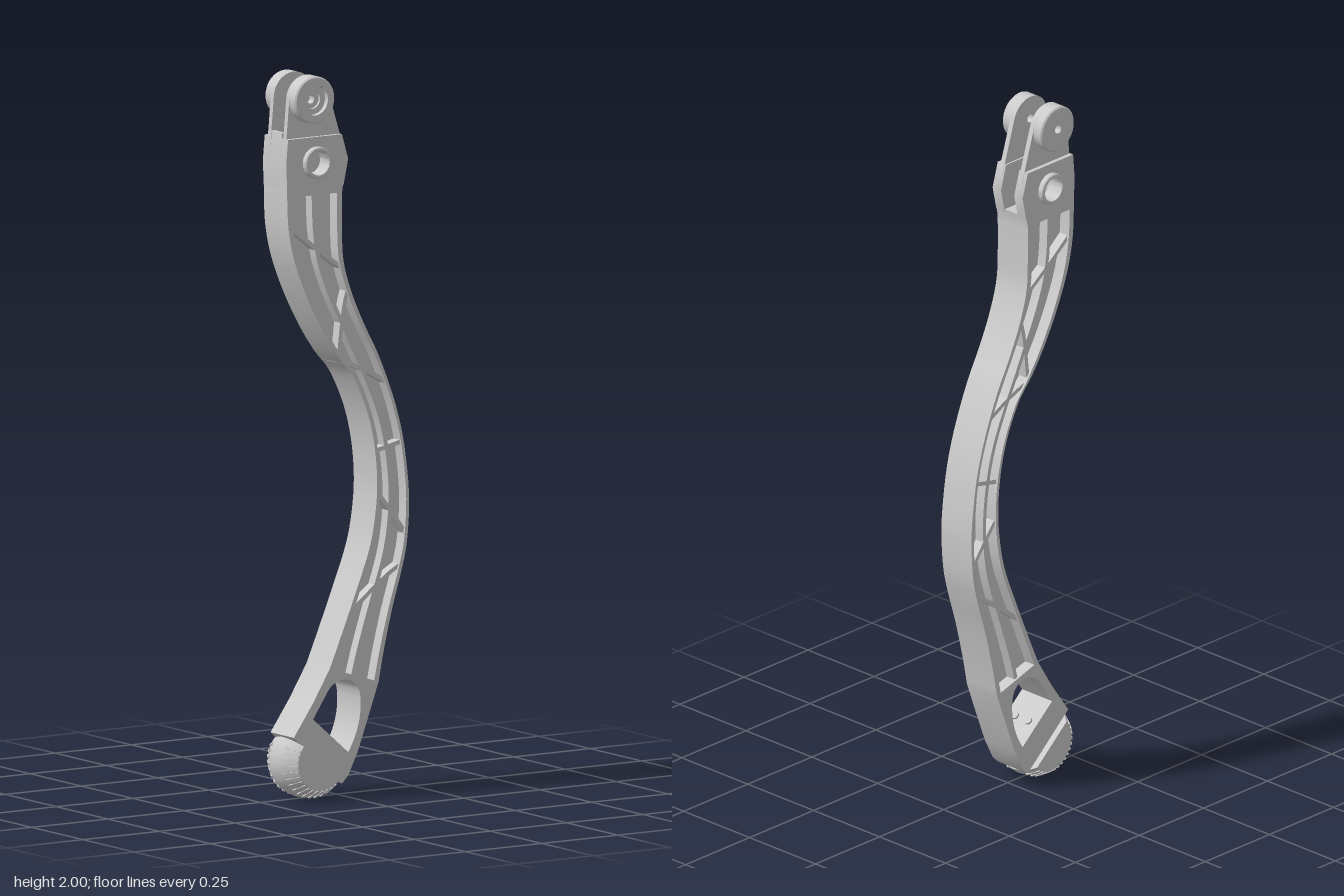
import * as THREE from 'three';
import { toCreasedNormals } from 'three/addons/utils/BufferGeometryUtils.js';

const V = (x, y) => new THREE.Vector2(x, y);
const pts = (list) => list.map(([x, y]) => V(x, y));

// Matching stations down the left and right edges of the curved arm
const leftEdge = new THREE.SplineCurve(pts([
  [-0.2, 1.67], [-0.195, 1.58], [-0.175, 1.49], [-0.135, 1.39], [-0.085, 1.295],
  [-0.035, 1.22], [0.015, 1.16], [0.06, 1.065], [0.085, 0.97], [0.095, 0.87],
  [0.09, 0.78], [0.07, 0.68], [0.02, 0.55], [-0.03, 0.43], [-0.06, 0.36]]));
const rightEdge = new THREE.SplineCurve(pts([
  [-0.02, 1.67], [-0.02, 1.56], [-0.015, 1.48], [0.01, 1.395], [0.05, 1.305],
  [0.1, 1.21], [0.145, 1.1], [0.175, 1.0], [0.192, 0.9], [0.2, 0.8],
  [0.193, 0.69], [0.175, 0.61], [0.145, 0.51], [0.118, 0.4], [0.1, 0.31]]));
const STATIONS = 14;

// Point on the arm: u runs across (0 left, 1 right), t runs down the stations
const armPoint = (u, t) =>
  leftEdge.getPoint(t / STATIONS).lerp(rightEdge.getPoint(t / STATIONS), u);
const armLine = (u0, t0, u1, t1, n) => Array.from({ length: n + 1 }, (_, i) =>
  armPoint(u0 + (u1 - u0) * i / n, t0 + (t1 - t0) * i / n));

export function createModel() {
  const model = new THREE.Group();
  const grey = new THREE.MeshStandardMaterial({ color: 0xcccccc });
  const thin = new THREE.MeshStandardMaterial({ color: 0xcccccc, side: THREE.DoubleSide });

  const add = (name, geometry, material = grey, parent = model) => {
    const mesh = new THREE.Mesh(geometry, material);
    mesh.name = name;
    parent.add(mesh);
    return mesh;
  };
  // Flat outline extruded between two depths
  const slab = (name, outline, z0, z1, holes = []) => {
    const shape = new THREE.Shape(outline);
    shape.holes = holes.map((h) => (h instanceof THREE.Path ? h : new THREE.Path(h)));
    const g = new THREE.ExtrudeGeometry(shape, { depth: z1 - z0, bevelEnabled: false, curveSegments: 24 });
    g.translate(0, 0, z0);
    return add(name, toCreasedNormals(g, 0.5));
  };
  const circle = (x, y, r) => new THREE.Path().absarc(x, y, r, 0, Math.PI * 2, true);
  // Revolved part whose axis is z; side -1 faces the back
  const turned = (name, profile, x, y, side) => {
    const g = new THREE.LatheGeometry(pts(profile), 40);
    g.rotateX(Math.PI / 2);
    if (side < 0) g.rotateY(Math.PI);
    g.translate(x, y, 0);
    return add(name, toCreasedNormals(g, 0.5), thin);
  };

  // Arm frame: full-depth rim with a long pocket and the window above the foot
  const pocket = [...armLine(0.09, 0, 0.09, 14, 70), ...armLine(0.91, 14, 0.91, 0, 70)];
  const windowHole = new THREE.Path();
  windowHole.moveTo(-0.115, 0.225);
  windowHole.lineTo(0, 0.125);
  windowHole.bezierCurveTo(0.03, 0.17, 0.045, 0.22, 0.04, 0.275);
  windowHole.bezierCurveTo(0.035, 0.335, -0.035, 0.34, -0.065, 0.3);
  windowHole.closePath();
  const outline = [
    V(-0.2, 1.7), ...armLine(0, 0, 0, 14, 70), V(-0.115, 0.27), V(-0.178, 0.18),
    V(-0.02, 0.04), V(0, 0.06), V(0.03, 0.12), V(0.06, 0.2),
    ...armLine(1, 14, 1, 0, 70), V(-0.015, 1.7)];
  slab('armFrame', outline, -0.057, 0.057, [pocket, windowHole]);
  slab('armWeb', pocket, -0.022, 0.022);

  // Stiffening ribs inside the pockets, visible on both sides
  const rib = (name, u0, t0, u1, t1, n) => {
    const line = armLine(u0, t0, u1, t1, n);
    const offset = (d) => line.map((p, i) => {
      const dir = line[Math.min(i + 1, n)].clone().sub(line[Math.max(i - 1, 0)]).normalize();
      return V(p.x - dir.y * d, p.y + dir.x * d);
    });
    slab(name, [...offset(0.006), ...offset(-0.006).reverse()], -0.051, 0.051);
  };
  rib('centreRib', 0.5, 0, 0.55, 4, 24);
  rib('centreRib', 0.55, 4, 0.42, 6, 12);
  rib('centreRib', 0.42, 6, 0.5, 14, 48);
  [[0.9, 2.2], [5, 3], [5.3, 5.7], [8.2, 7.4], [9.4, 9.8], [12.3, 10.9]].forEach(([a, b]) =>
    rib('crossRib', 0.06, a, 0.94, b, 8));

  // Fork head: two cheeks with a slot between, each carrying an ear and bosses
  const hole = [-0.105, 1.76];
  const pivot = [-0.12, 1.935];
  const cheek = pts([[-0.2, 1.69], [-0.015, 1.69], [0, 1.76], [-0.02, 1.83], [-0.197, 1.83], [-0.203, 1.76]]);
  const ear = [V(-0.197, 1.8), V(-0.01, 1.8)];
  for (let i = 0; i <= 20; i++) {
    const a = 0.25 + (Math.PI - 0.35) * i / 20;
    ear.push(V(pivot[0] + 0.065 * Math.cos(a), pivot[1] + 0.065 * Math.sin(a)));
  }
  for (const s of [1, -1]) {
    const span = (a, b) => (s > 0 ? [a, b] : [-b, -a]);
    slab('forkCheek', cheek, ...span(0.025, 0.057), [circle(...hole, 0.034)]);
    slab('forkEar', ear, ...span(0.03, 0.045), [circle(...pivot, 0.012)]);
    turned('holeCollar', [
      [0.034, 0.025], [0.034, 0.073], [0.041, 0.073], [0.044, 0.07], [0.044, 0.05]], ...hole, s);
    // The front boss has a deep counterbore, the back one only a small bore
    const bore = s > 0
      ? [[0.012, 0.04], [0.012, 0.052], [0.026, 0.052], [0.026, 0.06], [0.042, 0.06], [0.042, 0.075]]
      : [[0.012, 0.04], [0.012, 0.075]];
    turned('pivotBoss', [...bore, [0.061, 0.075], [0.065, 0.071], [0.065, 0.04], [0.012, 0.04]], ...pivot, s);
  }
  // Wall closing the slot on one side
  slab('slotWall', pts([[-0.2, 1.69], [-0.165, 1.69], [-0.17, 1.79], [-0.185, 1.845], [-0.195, 1.845], [-0.203, 1.76]]),
    -0.026, 0.026);

  // Rounded foot pad: half turn of a crowned profile, closed by a flat top
  const foot = new THREE.Group();
  foot.name = 'foot';
  foot.position.set(-0.098, 0.106, 0);
  foot.rotation.z = -0.72;
  model.add(foot);
  const crown = pts([[0, -0.073], [0.076, -0.073], [0.09, -0.055], [0.101, -0.028], [0.105, 0],
    [0.101, 0.028], [0.09, 0.055], [0.076, 0.073], [0, 0.073]]);
  const pad = new THREE.LatheGeometry(crown, 32, -Math.PI / 2, Math.PI);
  pad.rotateX(Math.PI / 2);
  add('footPad', toCreasedNormals(pad, 0.6), thin, foot);
  const top = new THREE.ShapeGeometry(new THREE.Shape(
    [...crown, ...crown.slice(1, -1).reverse().map((p) => V(-p.x, p.y))]));
  top.rotateX(Math.PI / 2);
  add('footTop', top, thin, foot);

  // Tread bars around the crowned edge
  for (let i = -7; i <= 7; i++) {
    const spoke = new THREE.Group();
    spoke.name = 'tread';
    spoke.rotation.z = -Math.PI / 2 + i * 0.19;
    foot.add(spoke);
    for (const s of [1, -1]) {
      const bar = add('treadBar', new THREE.BoxGeometry(0.045, 0.007, 0.006), grey, spoke);
      bar.position.set(0.089, 0, s * 0.053);
      bar.rotation.y = s * 1.04;
    }
  }

  // Fixing screws on the floor of the window
  for (const z of [-0.025, 0.025]) {
    const screw = add('footScrew', new THREE.CylinderGeometry(0.011, 0.011, 0.01, 16));
    screw.position.set(-0.056, 0.175, z);
    screw.rotation.z = -0.72;
  }
  return model;
}
